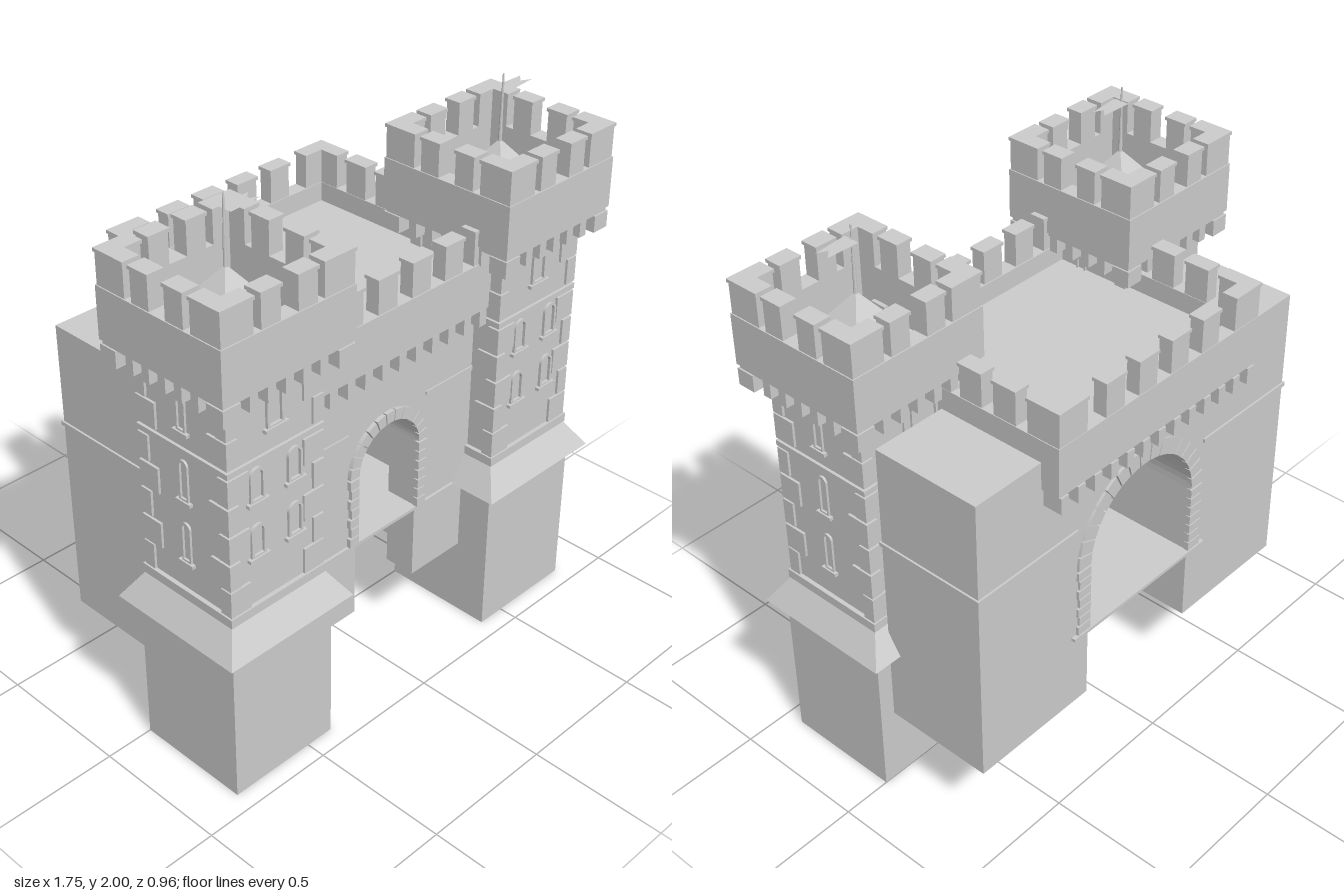
import * as THREE from 'three';

const mat = new THREE.MeshStandardMaterial({ color: 0xcccccc, flatShading: true });
const thin = new THREE.MeshStandardMaterial({ color: 0xcccccc, flatShading: true, side: THREE.DoubleSide });

function add(parent, name, geo, material = mat) {
  const m = new THREE.Mesh(geo, material);
  m.name = name;
  parent.add(m);
  return m;
}

// Box given by its minimum and maximum corners
function block(parent, name, x0, x1, y0, y1, z0, z1) {
  const m = add(parent, name, new THREE.BoxGeometry(x1 - x0, y1 - y0, z1 - z0));
  m.position.set((x0 + x1) / 2, (y0 + y1) / 2, (z0 + z1) / 2);
  return m;
}

function group(parent, name) {
  const g = new THREE.Group();
  g.name = name;
  parent.add(g);
  return g;
}

// Adds a round-headed outline (straight sides, semicircular top) to a path
function archPath(path, r, y0, spring) {
  path.moveTo(-r, y0);
  path.lineTo(r, y0);
  path.lineTo(r, spring);
  path.absarc(0, spring, r, 0, Math.PI, false);
  path.lineTo(-r, y0);
  return path;
}

const extrude = (shape, depth) =>
  new THREE.ExtrudeGeometry(shape, { depth, bevelEnabled: false, curveSegments: 16 });

// Wall with an arched passage cut up from its foot
function archedWall(parent, name, half, y0, y1, z0, z1, r, spring) {
  const s = new THREE.Shape();
  s.moveTo(-half, y0);
  s.lineTo(-r, y0);
  s.lineTo(-r, spring);
  s.absarc(0, spring, r, Math.PI, 0, true);
  s.lineTo(r, y0);
  s.lineTo(half, y0);
  s.lineTo(half, y1);
  s.lineTo(-half, y1);
  add(parent, name, extrude(s, z1 - z0)).position.z = z0;
}

// Separate stones up both jambs and round the arch
function archStones(parent, name, r0, r1, y0, spring, z, depth, jambs, wedges) {
  const g = group(parent, name);
  const pitch = (spring - y0) / jambs;
  for (const s of [-1, 1])
    for (let i = 0; i < jambs; i++) {
      const a = s * r0, b = s * (r1 - (i % 2) * 0.006);
      block(g, 'jambStone', Math.min(a, b), Math.max(a, b), y0 + i * pitch, y0 + (i + 0.88) * pitch, z, z + depth);
    }
  for (let i = 0; i < wedges; i++) {
    const a = ((i + 0.06) / wedges) * Math.PI, b = ((i + 0.94) / wedges) * Math.PI;
    const shape = new THREE.Shape();
    shape.absarc(0, spring, r1, a, b, false);
    shape.absarc(0, spring, r0, b, a, true);
    add(g, 'archStone', extrude(shape, depth)).position.z = z;
  }
}

// Straight merlon with a slightly wider cap
function merlon(parent, x, z, w, d, y0, y1) {
  block(parent, 'merlon', x - w / 2, x + w / 2, y0, y1 - 0.012, z - d / 2, z + d / 2);
  block(parent, 'merlonCap', x - w / 2 - 0.005, x + w / 2 + 0.005, y1 - 0.012, y1, z - d / 2 - 0.004, z + d / 2 + 0.004);
}

// L-shaped corner merlon; sx and sz point to the outer corner
function cornerMerlon(parent, x, z, sx, sz, len, t, y0, y1) {
  const layer = (name, e, a, b) => {
    block(parent, name, ...span(x, sx, -len - e, e), a, b, ...span(z, sz, -t - e, e));
    block(parent, name, ...span(x, sx, -t - e, e), a, b, ...span(z, sz, -len - e, -t - e));
  };
  layer('cornerMerlon', 0, y0, y1 - 0.012);
  layer('cornerMerlonCap', 0.004, y1 - 0.012, y1);
}
const span = (c, s, a, b) => (s > 0 ? [c + a, c + b] : [c - b, c - a]);

// Raised window surround with a sill
function windowFrame(parent, x, y0, w, h, z) {
  const r = w / 2;
  const s = archPath(new THREE.Shape(), r, y0, y0 + h - r);
  s.holes.push(archPath(new THREE.Path(), r * 0.68, y0 + 0.006, y0 + h - r));
  add(parent, 'windowFrame', extrude(s, 0.012)).position.set(x, 0, z);
  block(parent, 'windowSill', x - r - 0.012, x + r + 0.012, y0 - 0.012, y0, z, z + 0.018);
}

function tower(parent, name, x) {
  const t = group(parent, name);
  t.position.set(x, 0, 0.215);
  const square = (n, h, y0, y1) => block(t, n, -h, h, y0, y1, -h, h);
  square('towerBase', 0.215, 0, 0.577);
  const skirt = add(t, 'slopedSkirt', new THREE.CylinderGeometry(0.2 * Math.SQRT2, 0.265 * Math.SQRT2, 0.1, 4));
  skirt.rotation.y = Math.PI / 4;
  skirt.position.y = 0.627;
  square('lowerBand', 0.205, 0.677, 0.71);
  square('towerShaft', 0.19, 0.71, 1.525);
  square('middleBand', 0.2, 1.22, 1.24);

  // Alternating corner stones
  const rows = [0.71, 0.81, 0.913, 1.015, 1.118, 1.25, 1.35];
  for (const sx of [-1, 1])
    for (const sz of [-1, 1])
      rows.forEach((y, i) => {
        const wx = i % 2 ? 0.045 : 0.085, wz = i % 2 ? 0.085 : 0.045;
        block(t, 'cornerStone', ...span(sx * 0.199, sx, -wx, 0), y, y + 0.094, ...span(sz * 0.199, sz, -wz, 0));
      });

  // Windows: pairs on the front, single narrow lights on the other sides
  for (let k = 0; k < 4; k++) {
    const face = group(t, 'windows');
    face.rotation.y = (k * Math.PI) / 2;
    if (k === 0) {
      for (const s of [-1, 1])
        for (const y of [0.887, 1.09]) windowFrame(face, s * 0.078, y, 0.06, 0.118, 0.188);
      windowFrame(face, 0, 1.322, 0.07, 0.135, 0.188);
    } else
      for (const y of [0.82, 1.05, 1.3]) windowFrame(face, 0, y, 0.04, 0.145, 0.186);
  }

  // Overhanging battlement
  for (let k = 0; k < 4; k++) {
    const side = group(t, 'battlementSide');
    side.rotation.y = (k * Math.PI) / 2;
    for (let i = -2; i <= 2; i++)
      block(side, 'corbel', i * 0.07 - 0.016, i * 0.07 + 0.016, 1.46, 1.515, 0.18, 0.258);
    block(side, 'cornerCorbel', 0.195, 0.264, 1.455, 1.515, 0.195, 0.264);
    block(side, 'parapet', -0.205, 0.265, 1.53, 1.71, 0.205, 0.265);
    for (const s of [-1, 1]) merlon(side, s * 0.072, 0.233, 0.075, 0.056, 1.71, 1.83);
  }
  square('battlementFloor', 0.258, 1.515, 1.545);
  for (const sx of [-1, 1])
    for (const sz of [-1, 1]) cornerMerlon(t, sx * 0.261, sz * 0.261, sx, sz, 0.122, 0.056, 1.71, 1.83);

  // Pyramid roof, pole and swallow-tailed pennant
  const roof = add(t, 'pyramidRoof', new THREE.ConeGeometry(0.18 * Math.SQRT2, 0.23, 4));
  roof.rotation.y = Math.PI / 4;
  roof.position.y = 1.66;
  add(t, 'flagPole', new THREE.CylinderGeometry(0.003, 0.007, 0.25, 8)).position.y = 1.875;
  const flag = new THREE.Shape([[0, -0.03], [0.125, -0.018], [0.09, 0], [0.12, 0.028], [0, 0.03]]
    .map(p => new THREE.Vector2(...p)));
  const pennant = add(t, 'pennant', new THREE.ShapeGeometry(flag), thin);
  pennant.rotation.x = -Math.PI / 2;
  pennant.position.y = 1.95;
}

export function createModel() {
  const model = new THREE.Group();
  model.name = 'castleGatehouse';
  const spring = 0.855;
  tower(model, 'leftTower', 0.608);
  tower(model, 'rightTower', -0.608);

  // Gatehouse walls round the passage
  archedWall(model, 'rearBlock', 0.765, 0.29, 1.385, -0.41, 0, 0.26, spring);
  archedWall(model, 'passageWalls', 0.43, 0.29, 1.385, 0, 0.18, 0.26, spring);
  archedWall(model, 'frontWall', 0.45, 0.29, 1.385, 0.18, 0.3, 0.146, spring);
  block(model, 'roadway', -0.34, 0.34, 0.575, 0.587, -0.425, 0.31);
  archStones(model, 'frontArch', 0.144, 0.185, 0.587, spring, 0.295, 0.02, 7, 13);
  archStones(model, 'rearArch', 0.258, 0.318, 0.587, spring, -0.42, 0.02, 7, 17);

  // String course
  for (const s of [-1, 1]) {
    block(model, 'sideCourse', ...span(0, s, 0.32, 0.772), 1.015, 1.03, -0.417, 0.005);
    block(model, 'frontCourse', ...span(0, s, 0.185, 0.43), 1.015, 1.03, 0.29, 0.305);
  }

  // Raised portcullis
  const gate = group(model, 'portcullis');
  for (let i = -5; i <= 5; i++) {
    const x = i * 0.036;
    block(gate, 'gateBar', x - 0.005, x + 0.005, 0.91, 1.06, 0.155, 0.167);
    const tip = add(gate, 'gateSpike', new THREE.ConeGeometry(0.007, 0.025, 4));
    tip.rotation.x = Math.PI;
    tip.position.set(x, 0.9, 0.161);
  }
  for (const y of [0.94, 0.99, 1.04]) block(gate, 'gateCrossbar', -0.21, 0.21, y - 0.004, y + 0.004, 0.153, 0.163);

  // Roof deck and overhanging parapets
  block(model, 'roofDeck', -0.44, 0.44, 1.375, 1.395, -0.43, 0.31);
  block(model, 'frontParapet', -0.42, 0.42, 1.285, 1.465, 0.305, 0.365);
  block(model, 'rearParapet', -0.485, 0.485, 1.285, 1.465, -0.48, -0.425);
  for (const s of [-1, 1]) {
    block(model, 'sideParapet', ...span(0, s, 0.43, 0.485), 1.285, 1.465, -0.425, 0.03);
    cornerMerlon(model, s * 0.482, -0.478, s, -1, 0.125, 0.05, 1.465, 1.59);
    for (const z of [-0.262, -0.124]) merlon(model, s * 0.457, z, 0.05, 0.09, 1.465, 1.59);
  }
  for (let i = -5; i <= 5; i++)
    block(model, 'frontCorbel', i * 0.078 - 0.017, i * 0.078 + 0.017, 1.22, 1.28, 0.29, 0.36);
  for (let i = -6; i <= 6; i++)
    block(model, 'rearCorbel', i * 0.0765 - 0.017, i * 0.0765 + 0.017, 1.22, 1.28, -0.482, -0.4);
  for (const x of [-0.23, -0.077, 0.077, 0.23]) {
    merlon(model, x, 0.335, 0.085, 0.052, 1.465, 1.59);
    merlon(model, x, -0.453, 0.085, 0.05, 1.465, 1.59);
  }
  for (const s of [-1, 1]) merlon(model, s * 0.37, 0.335, 0.085, 0.052, 1.465, 1.59);
  return model;
}
